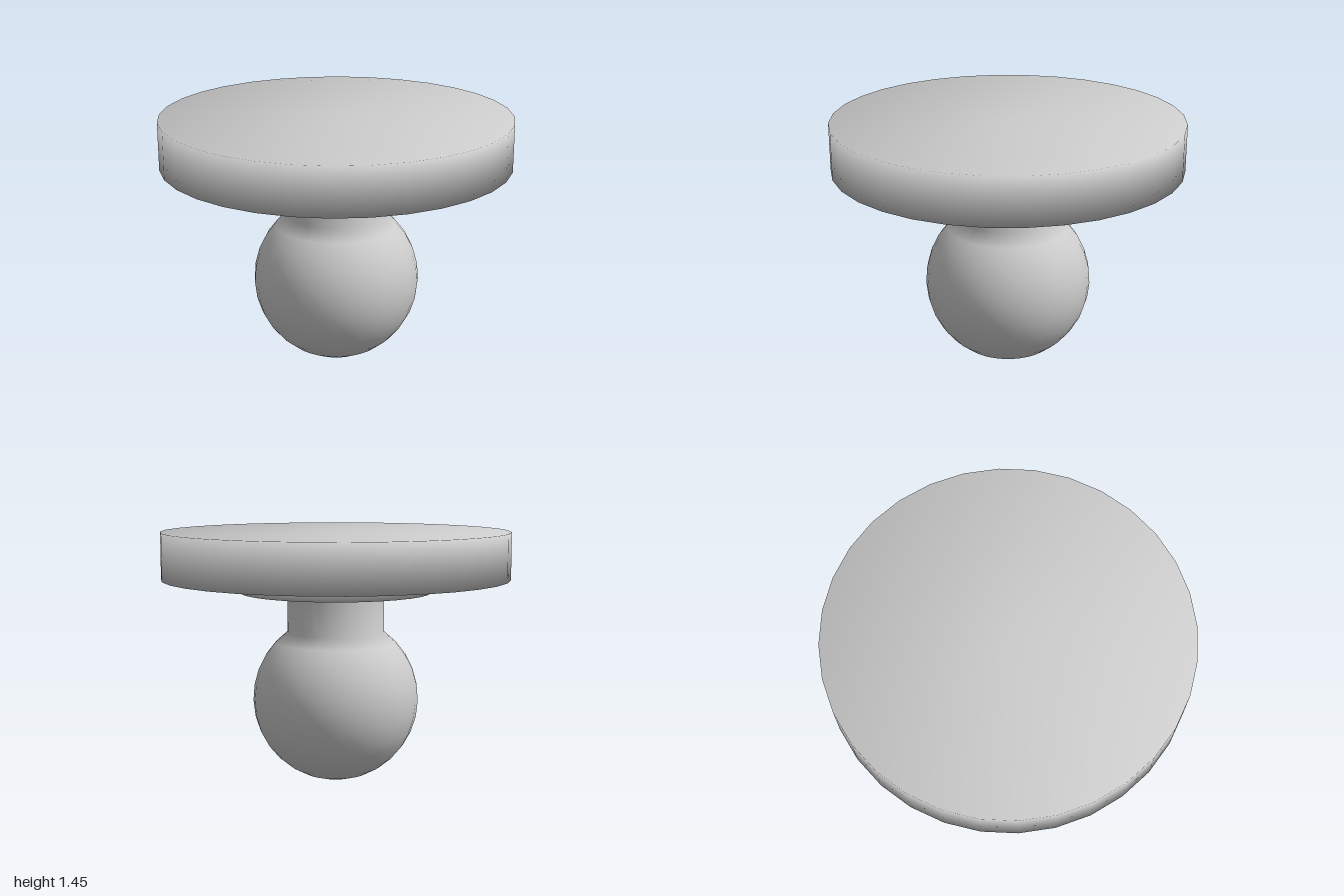
import * as THREE from 'three';
import { mergeVertices } from 'three/addons/utils/BufferGeometryUtils.js';

const SIDES = 32;
const material = new THREE.MeshStandardMaterial({ color: 0xcccccc });

// Disc whose rim is shaded smoothly into its flat faces
function softDisc(name, radius, bottom, top) {
  let geometry = new THREE.CylinderGeometry(radius, radius, top - bottom, SIDES);
  geometry.deleteAttribute('uv');
  geometry.deleteAttribute('normal');
  geometry = mergeVertices(geometry);
  geometry.computeVertexNormals();
  const mesh = new THREE.Mesh(geometry, material);
  mesh.name = name;
  mesh.position.y = (bottom + top) / 2;
  return mesh;
}

// Ball running up into a straight neck, turned as one piece
function ballAndNeck(ballRadius, neckRadius, neckTop) {
  const steps = 13;
  const start = -Math.PI / 2;
  const end = Math.acos(neckRadius / ballRadius);
  const profile = [];
  for (let i = 0; i <= steps; i++) {
    const a = start + ((end - start) * i) / steps;
    profile.push(new THREE.Vector2(
      i === 0 ? 0 : ballRadius * Math.cos(a),
      ballRadius + ballRadius * Math.sin(a)
    ));
  }
  profile.push(new THREE.Vector2(neckRadius, neckTop));
  const mesh = new THREE.Mesh(new THREE.LatheGeometry(profile, SIDES), material);
  mesh.name = 'ballAndNeck';
  return mesh;
}

export function createModel() {
  const model = new THREE.Group();
  model.name = 'ballMount';
  model.add(
    softDisc('topPlate', 1, 1.18, 1.45),
    softDisc('collar', 0.55, 1.1, 1.2),
    ballAndNeck(0.48, 0.28, 1.11)
  );
  return model;
}
